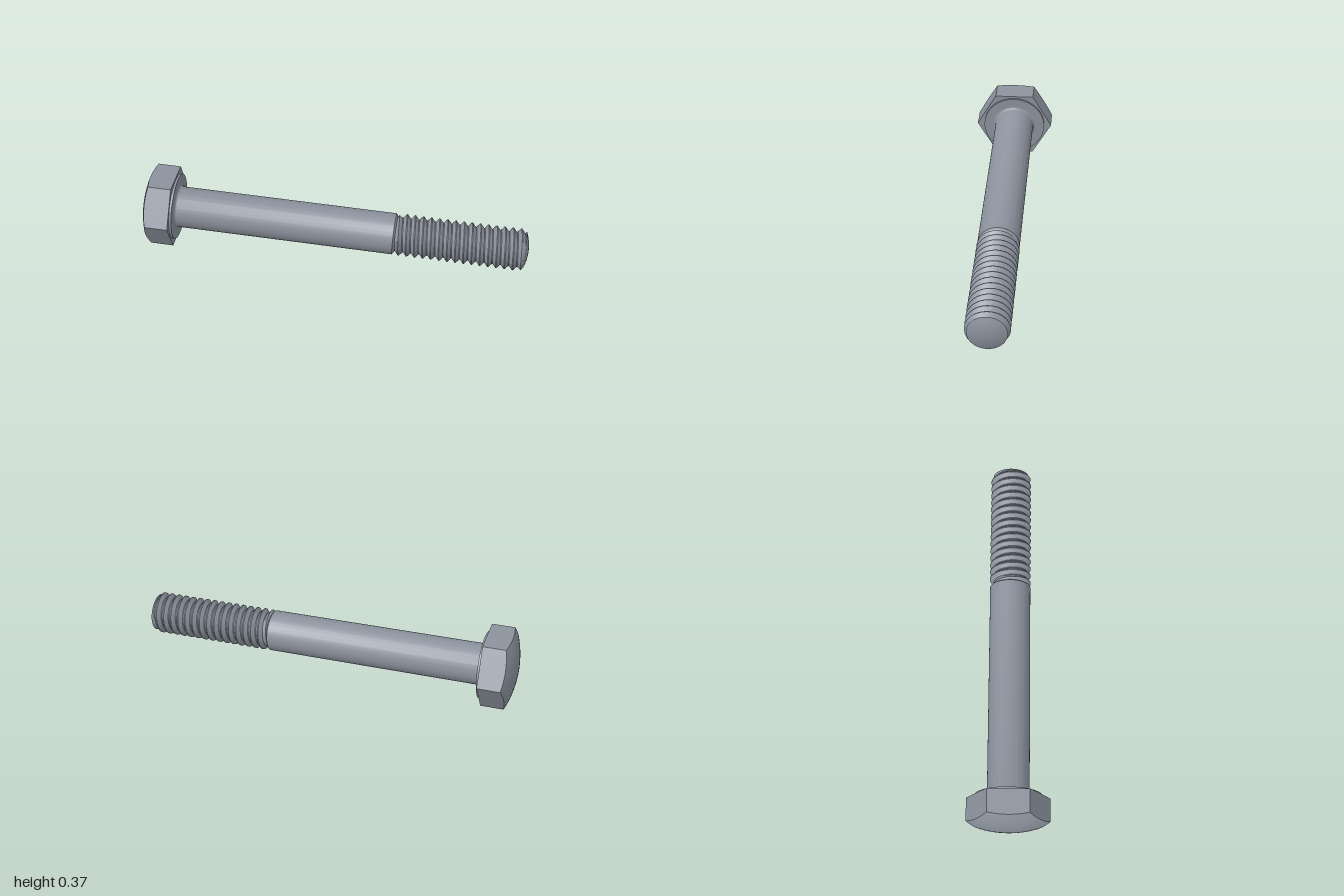
import * as THREE from 'three';
import { toCreasedNormals } from 'three/addons/utils/BufferGeometryUtils.js';

const TAU = Math.PI * 2;
const steel = new THREE.MeshStandardMaterial({ color: 0x8c939e });
steel.name = 'steel grey';

// Surface around the local y axis; at(row, angle) returns [radius, height]
function ringSurface(rows, cols, at, crease) {
  const pos = [], index = [];
  for (let i = 0; i <= rows; i++) {
    for (let j = 0; j <= cols; j++) {
      const a = (j / cols) * TAU;
      const [r, s] = at(i, a);
      pos.push(r * Math.sin(a), s, r * Math.cos(a));
    }
  }
  const w = cols + 1;
  for (let i = 0; i < rows; i++) {
    for (let j = 0; j < cols; j++) {
      const a = i * w + j;
      index.push(a, a + 1, a + w + 1, a, a + w + 1, a + w);
    }
  }
  const g = new THREE.BufferGeometry();
  g.setAttribute('position', new THREE.Float32BufferAttribute(pos, 3));
  g.setIndex(index);
  return toCreasedNormals(g, crease);
}

function lathe(points, crease = 0.5) {
  return toCreasedNormals(
    new THREE.LatheGeometry(points.map(([r, s]) => new THREE.Vector2(r, s)), 64), crease);
}

// Hexagonal head with a spherical crown cutting the corners
function headGeometry() {
  const corner = 0.213, apothem = corner * Math.cos(Math.PI / 6);
  const top = 0.165, ball = 0.527;
  const crown = r => -(top - ball + Math.sqrt(ball * ball - r * r));
  const hex = a => apothem / Math.cos((a % (Math.PI / 3)) - Math.PI / 6);
  const n = 8;
  return ringSurface(n + 2, 72, (i, a) => {
    const h = hex(a);
    if (i <= n) return [h * i / n, crown(h * i / n)];
    return i === n + 1 ? [h, 0] : [0, 0];
  }, 0.5);
}

// Helical V thread, faded at both ends
function threadGeometry(s0, s1, root, crest, tip) {
  const pitch = 0.0425;
  const knots = [[0, 0], [0.1, 0], [0.5, 1], [0.6, 1]];
  const turns = Math.ceil((s1 - s0) / pitch) + 1;
  const limit = s => Math.min(
    crest,
    root + Math.max(0, s - s0),
    tip + Math.max(0, s1 - s) * 0.6);
  return ringSurface(turns * knots.length, 64, (i, a) => {
    const [phase, lift] = knots[i % knots.length];
    const turn = Math.floor(i / knots.length) - 1;
    const raw = s0 + (turn + phase + a / TAU) * pitch;
    const s = THREE.MathUtils.clamp(raw, s0, s1);
    return [Math.min(root + lift * (crest - root), limit(s)), s];
  }, 0.6);
}

export function createModel() {
  const bolt = new THREE.Group();
  bolt.name = 'hexBolt';
  const add = (name, geometry) => {
    const mesh = new THREE.Mesh(geometry, steel);
    mesh.name = name;
    bolt.add(mesh);
  };

  const shaftR = 0.108, rootR = 0.09, crestR = 0.11, tipR = 0.098;
  const threadStart = 1.17, threadEnd = 1.845;

  add('head', headGeometry());
  add('washerFace', lathe([[0.173, 0], [0.173, 0.012], [0.1, 0.012]]));

  // Smooth shank with a fillet under the head and a bevel into the thread
  const shank = [];
  for (let i = 0; i <= 5; i++) {
    const t = (i / 5) * Math.PI / 2;
    shank.push([shaftR + 0.014 * (1 - Math.sin(t)), 0.012 + 0.014 * (1 - Math.cos(t))]);
  }
  shank.push([shaftR, threadStart - 0.005], [rootR - 0.002, threadStart + 0.008]);
  add('shank', lathe(shank));

  add('thread', threadGeometry(threadStart, threadEnd, rootR, crestR, tipR));

  // Shallow domed tip
  const dome = [];
  for (let i = 0; i <= 8; i++) {
    const r = tipR * (1 - i / 8);
    dome.push([r, threadEnd + 0.02 * (1 - (r / tipR) ** 2)]);
  }
  add('tip', lathe(dome, 0.8));

  // Lay the bolt down along its slanted axis, resting on head and tip
  const axis = new THREE.Vector3(0.977, -0.0401, 0.2091).normalize();
  const side = new THREE.Vector3(-axis.z, 0, axis.x).normalize();
  const down = new THREE.Vector3().crossVectors(axis, side);
  bolt.quaternion.setFromRotationMatrix(new THREE.Matrix4().makeBasis(down, axis, side));
  bolt.position.set(-0.832, 0.187, -0.13);

  const model = new THREE.Group();
  model.name = 'bolt';
  model.add(bolt);
  return model;
}
